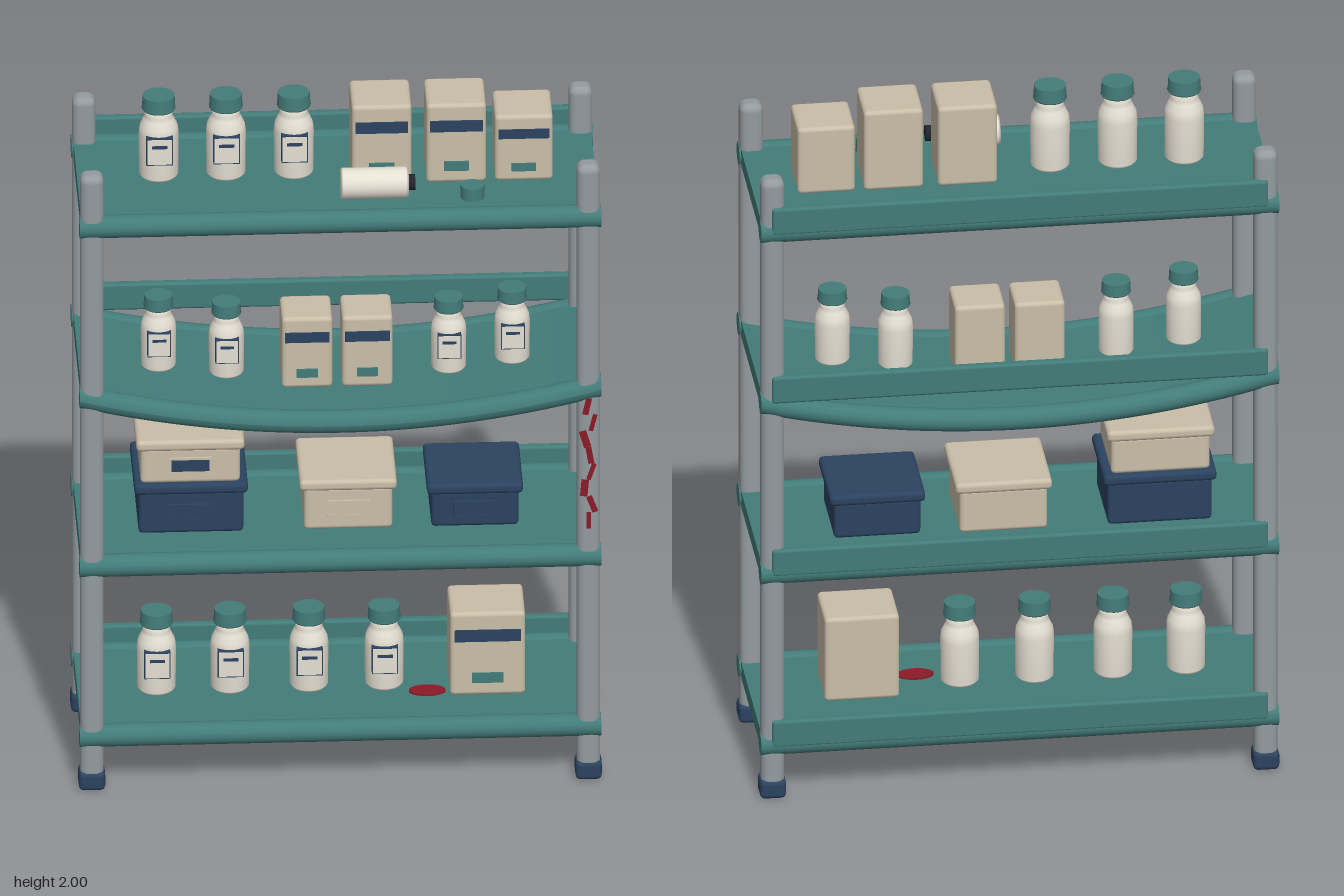
import * as THREE from 'three';
import { RoundedBoxGeometry } from 'three/addons/geometries/RoundedBoxGeometry.js';

const mat = (color) => new THREE.MeshStandardMaterial({ color });
const TEAL = mat(0x437c79), STEEL = mat(0x939b9f), NAVY = mat(0x2b4360);
const BEIGE = mat(0xc9bea8), CREAM = mat(0xe6e0d3), RED = mat(0x8c1a26), DARK = mat(0x20252b);

function add(parent, name, geometry, material, x = 0, y = 0, z = 0) {
  const mesh = new THREE.Mesh(geometry, material);
  mesh.name = name;
  mesh.position.set(x, y, z);
  parent.add(mesh);
  return mesh;
}
const box = (w, h, d) => new THREE.BoxGeometry(w, h, d);
const rbox = (w, h, d, r = 0.01) => new RoundedBoxGeometry(w, h, d, 2, r);

function group(parent, name, x, y, z) {
  const g = new THREE.Group();
  g.name = name;
  g.position.set(x, y, z);
  parent.add(g);
  return g;
}

// Lower the vertices along a parabola, deepest at the middle
function bend(geometry, sag) {
  const p = geometry.attributes.position;
  for (let i = 0; i < p.count; i++) {
    p.setY(i, p.getY(i) - sag * (1 - (p.getX(i) / 0.71) ** 2));
  }
  if (sag) geometry.computeVertexNormals();
  return geometry;
}

// Shelf: plate, round front and back rims, straight back rail
function shelf(parent, y, sag = 0) {
  const g = group(parent, sag ? 'saggingShelf' : 'shelf', 0, y, 0);
  const segments = sag ? 28 : 1;
  add(g, 'shelfPlate', bend(new THREE.BoxGeometry(1.41, 0.048, 0.48, segments, 1, 1), sag), TEAL);
  for (const side of [1, -1]) {
    const rim = new THREE.CylinderGeometry(0.032, 0.032, 1.42, 16, segments).rotateZ(Math.PI / 2);
    add(g, side > 0 ? 'frontRim' : 'backRim', bend(rim, sag), TEAL, 0, 0, side * 0.236);
  }
  add(g, 'backRail', rbox(1.36, 0.08, 0.026, 0.008), TEAL, 0, sag ? 0.047 : 0.04, -0.256);
}

// Bottle standing on y with a turned body, ribbed cap and front label
function bottle(parent, x, y, z, h = 0.24) {
  const g = group(parent, 'bottle', x, y, z);
  g.scale.set(h / 0.24 * 0.99, h / 0.24, h / 0.24 * 0.99);
  const profile = [[0, 0], [0.046, 0], [0.053, 0.008], [0.054, 0.13], [0.051, 0.152],
    [0.041, 0.172], [0.037, 0.182], [0.037, 0.21], [0, 0.21]];
  add(g, 'bottleBody', new THREE.LatheGeometry(profile.map((p) => new THREE.Vector2(...p)), 24), CREAM);
  add(g, 'bottleCap', new THREE.CylinderGeometry(0.043, 0.045, 0.034, 24), TEAL, 0, 0.223, 0);
  add(g, 'capBand', new THREE.TorusGeometry(0.041, 0.005, 6, 24).rotateX(Math.PI / 2), TEAL, 0, 0.204, 0);
  add(g, 'labelBacking', box(0.072, 0.08, 0.022), NAVY, 0, 0.098, 0.049);
  add(g, 'label', box(0.066, 0.074, 0.022), CREAM, 0, 0.098, 0.0505);
  add(g, 'labelStripe', box(0.042, 0.009, 0.022), NAVY, 0, 0.113, 0.052);
}

// Carton with a wide stripe and a small patch on the front
function carton(parent, x, y, z, w, h, d) {
  const g = group(parent, 'carton', x, y, z);
  add(g, 'cartonBody', rbox(w, h, d, 0.012), BEIGE, 0, h / 2, 0);
  add(g, 'cartonStripe', box(w * 0.88, h * 0.14, 0.008), NAVY, 0, h * 0.73, d / 2);
  add(g, 'cartonPatch', box(w * 0.42, h * 0.12, 0.008), TEAL, 0, h * 0.22, d / 2);
}

// Storage bin with an overhanging lid and a framed front panel
function bin(parent, x, y, z, w, h, d, material, panel = material) {
  const g = group(parent, 'bin', x, y, z);
  const body = h - 0.026;
  add(g, 'binBody', rbox(w - 0.024, body, d - 0.024, 0.012), material, 0, body / 2, 0);
  add(g, 'binLid', rbox(w, 0.032, d, 0.012), material, 0, h - 0.016, 0);
  const py = body * 0.52, pz = d / 2 - 0.011;
  add(g, 'binPanel', box(0.105, 0.036, 0.008), panel, 0, py, pz);
  for (const s of [1, -1]) {
    add(g, 'panelFrame', box(0.115, 0.006, 0.012), material, 0, py + s * 0.021, pz);
    add(g, 'panelFrame', box(0.006, 0.042, 0.012), material, s * 0.055, py, pz);
  }
}

export function createModel() {
  const model = new THREE.Group();
  model.name = 'shelvingUnit';

  // Four posts with feet
  for (const x of [-0.676, 0.676]) {
    for (const z of [-0.228, 0.228]) {
      add(model, 'post', new RoundedBoxGeometry(0.064, 1.85, 0.064, 4, 0.022), STEEL, x, 0.96, z);
      add(model, 'foot', rbox(0.072, 0.056, 0.072, 0.014), NAVY, x, 0.028, z);
    }
  }

  // Shelves, the third one sagging
  for (const y of [0.16, 0.682, 1.724]) shelf(model, y);
  shelf(model, 1.203, 0.094);

  // Bottom shelf
  for (const x of [-0.49, -0.29, -0.075, 0.13]) bottle(model, x, 0.187, 0.02);
  carton(model, 0.408, 0.187, 0.02, 0.205, 0.253, 0.175);
  const stain = add(model, 'stain', new THREE.CylinderGeometry(0.05, 0.05, 0.005, 20), RED, 0.245, 0.187, 0.07);
  stain.scale.z = 0.6;

  // Second shelf
  bin(model, -0.4, 0.71, -0.008, 0.31, 0.155, 0.27, NAVY);
  bin(model, -0.402, 0.865, -0.008, 0.295, 0.135, 0.275, BEIGE, NAVY);
  bin(model, 0.028, 0.71, -0.008, 0.265, 0.155, 0.265, BEIGE);
  bin(model, 0.373, 0.71, -0.003, 0.262, 0.135, 0.255, NAVY);

  // Sagging shelf
  for (const [x, y] of [[-0.485, 1.185], [-0.3, 1.16], [0.305, 1.16], [0.478, 1.185]]) {
    bottle(model, x, y, 0.03, 0.217);
  }
  for (const x of [-0.083, 0.081]) carton(model, x, 1.14, 0.03, 0.138, 0.215, 0.14);

  // Top shelf
  for (const x of [-0.483, -0.3, -0.115]) bottle(model, x, 1.755, 0.0, 0.245);
  carton(model, 0.121, 1.75, -0.004, 0.163, 0.24, 0.163);
  carton(model, 0.324, 1.75, -0.004, 0.163, 0.24, 0.163);
  carton(model, 0.508, 1.75, -0.004, 0.158, 0.2, 0.16);

  // Toppled open bottle and its loose cap
  const toppled = group(model, 'toppledBottle', 0.005, 1.795, 0.152);
  toppled.rotation.z = -Math.PI / 2;
  const tube = [[0, 0], [0.04, 0], [0.043, 0.006], [0.043, 0.178], [0.036, 0.185], [0, 0.185]];
  add(toppled, 'toppledBody', new THREE.LatheGeometry(tube.map((p) => new THREE.Vector2(...p)), 24), CREAM);
  add(toppled, 'toppledMouth', new THREE.CylinderGeometry(0.022, 0.022, 0.02, 20), DARK, 0, 0.193, 0);
  add(model, 'looseCap', new THREE.CylinderGeometry(0.032, 0.033, 0.036, 24), TEAL, 0.364, 1.769, 0.16);

  // Red streaks on one front post
  for (let i = 0; i < 8; i++) {
    const streak = add(model, 'postStreak', box(0.012 + 0.004 * (i % 3), 0.05, 0.004), RED,
      0.676 + 0.012 * Math.sin(i * 2.3), 0.8 + i * 0.05, 0.261);
    streak.rotation.z = 0.35 * Math.sin(i * 1.7);
  }
  return model;
}
